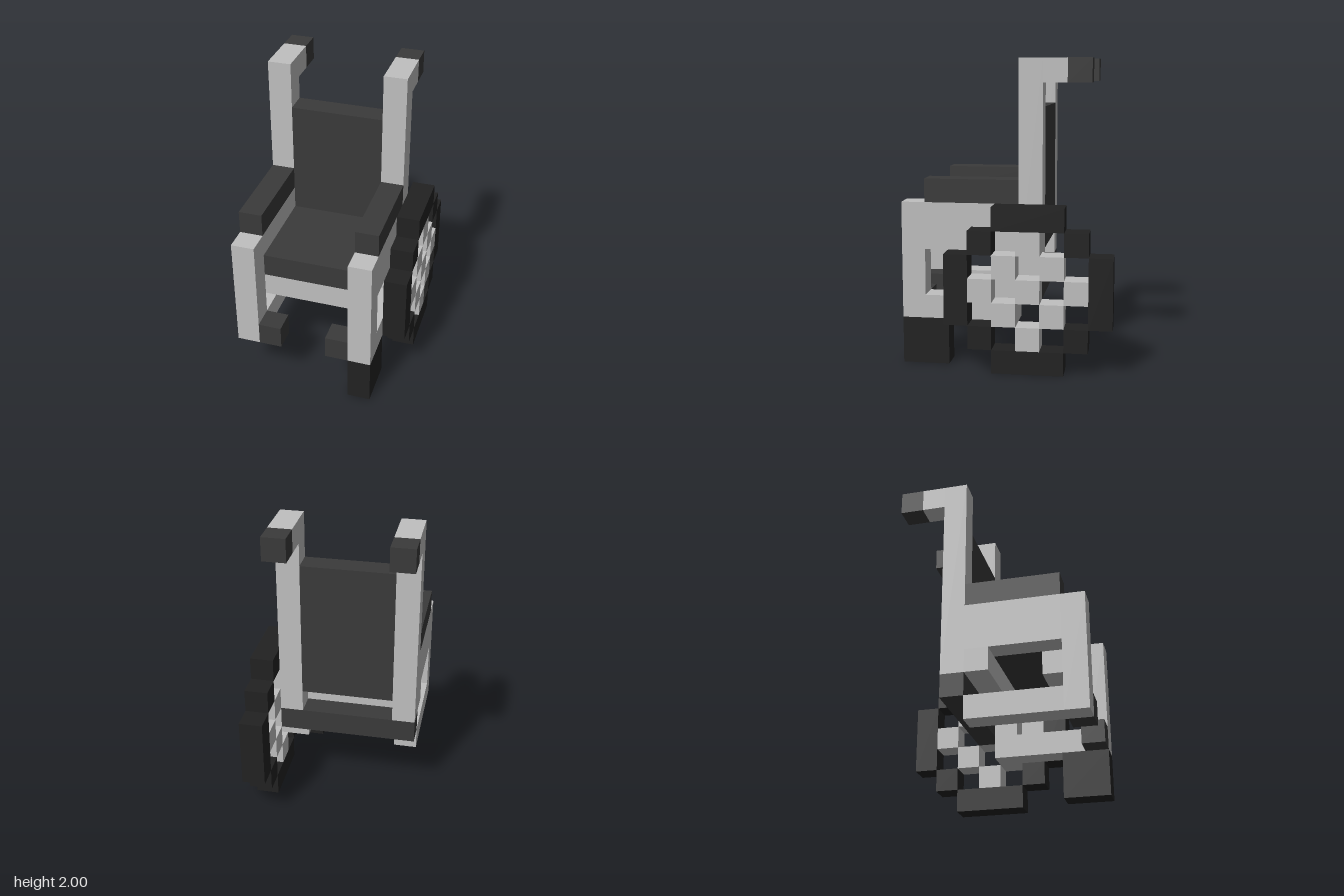
import * as THREE from 'three';

const U = 2 / 13; // edge of one block

export function createModel() {
  const model = new THREE.Group();
  model.name = 'wheelchair';

  const mat = (name, color) => {
    const m = new THREE.MeshStandardMaterial({ color });
    m.name = name;
    return m;
  };
  const metal = mat('light metal', 0xc0c0c0);
  const padding = mat('dark padding', 0x3a3a3a);
  const rubber = mat('black rubber', 0x222222);

  // box filling whole blocks from first to last [column, row, depth], inclusive
  const block = (parent, name, material, a, b = a) => {
    const size = a.map((v, n) => (b[n] - v + 1) * U);
    const mesh = new THREE.Mesh(new THREE.BoxGeometry(...size), material);
    mesh.position.set(
      ((a[0] + b[0] + 1) / 2 - 3.5) * U,
      ((a[1] + b[1] + 1) / 2) * U,
      ((a[2] + b[2] + 1) / 2 - 4.5) * U
    );
    mesh.name = name;
    parent.add(mesh);
  };
  const group = (name) => {
    const g = new THREE.Group();
    g.name = name;
    model.add(g);
    return g;
  };

  // side frames with arm rests and push handles
  for (const [name, i] of [['rightSide', 0], ['leftSide', 5]]) {
    const side = group(name);
    block(side, 'frontPost', metal, [i, 2, 8], [i, 6, 8]);
    block(side, 'sidePanel', metal, [i, 5, 4], [i, 6, 7]);
    block(side, 'lowerRail', metal, [i, 2, 4], [i, 2, 7]);
    block(side, 'innerPost', metal, [i, i ? 3 : 4, 4], [i, 4, 4]);
    block(side, 'rearPost', metal, [i, 4, 3], [i, 12, 3]);
    block(side, 'handleBar', metal, [i, 12, 2]);
    block(side, 'handleGrip', padding, [i, 12, 1]);
    block(side, 'armRest', padding, [i, 7, 4], [i, 7, 7]);
  }

  // seat, back and cross bars
  const seat = group('seatAssembly');
  block(seat, 'seat', padding, [1, 5, 4], [4, 5, 7]);
  block(seat, 'backRest', padding, [1, 5, 3], [4, 10, 3]);
  block(seat, 'frontCrossBar', metal, [1, 4, 7], [4, 4, 7]);
  block(seat, 'rearCrossBar', metal, [1, 4, 4], [4, 4, 4]);
  block(seat, 'axle', padding, [0, 3, 3], [5, 3, 3]);
  for (const i of [1, 4]) block(seat, 'footRest', padding, [i, 2, 8]);

  // small front wheel
  block(model, 'frontWheel', rubber, [5, 0, 7], [5, 1, 8]);

  // large wheel: stepped tyre ring around chequered spokes
  const wheel = group('largeWheel');
  for (const e of [0, 6]) {
    block(wheel, 'tyre', rubber, [6, e, 2], [6, e, 4]);
    block(wheel, 'tyre', rubber, [6, 2, e], [6, 4, e]);
  }
  for (const j of [1, 5]) for (const k of [1, 5]) block(wheel, 'tyre', rubber, [6, j, k]);
  for (let j = 1; j <= 5; j++) {
    for (let k = 1; k <= 5; k++) {
      const reach = Math.abs(j - 3) + Math.abs(k - 3);
      if (reach === 0 || reach === 2) block(wheel, 'spoke', metal, [6, j, k]);
    }
  }

  return model;
}
